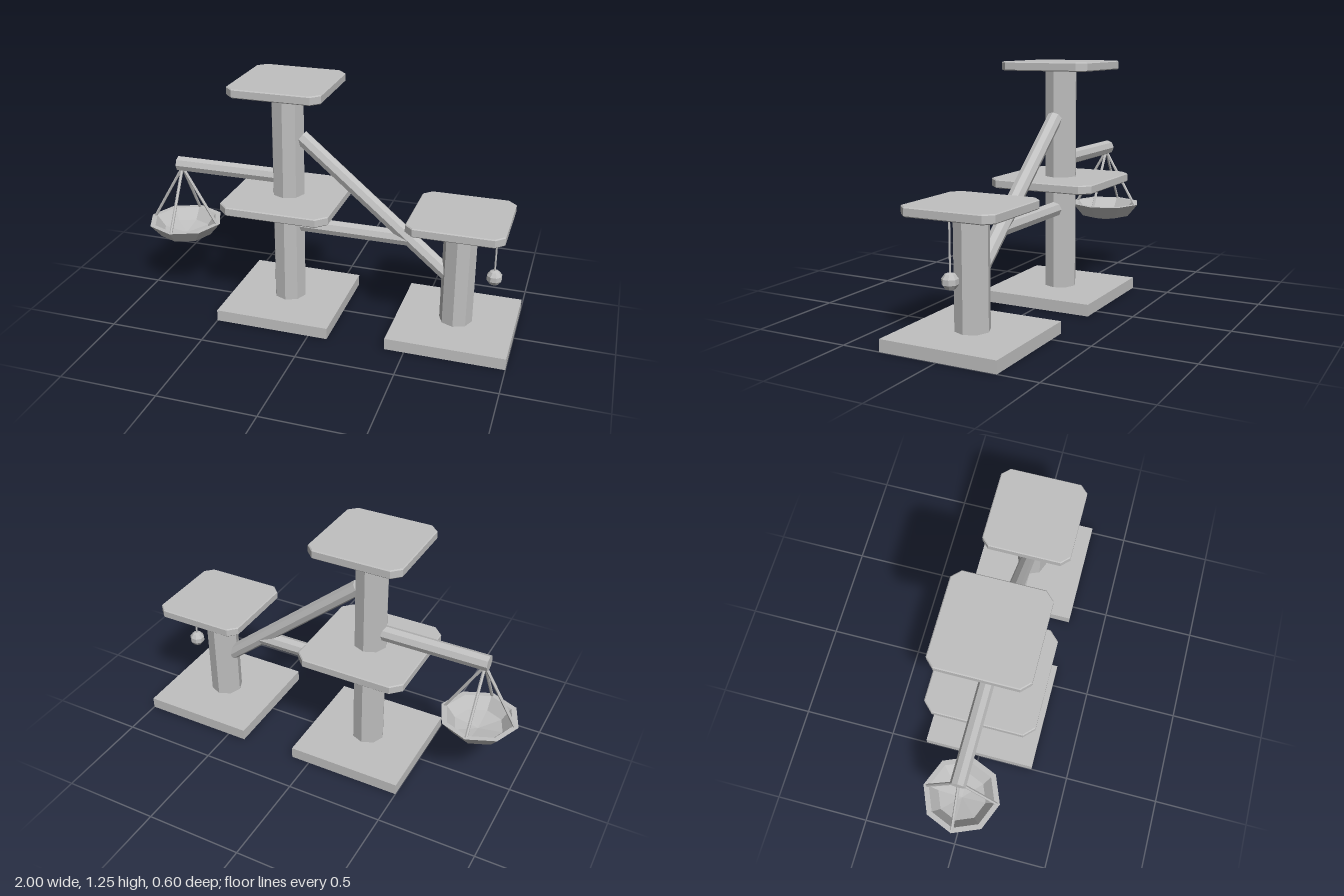
import * as THREE from 'three';

export function createModel() {
  const group = new THREE.Group();
  const grey = new THREE.MeshStandardMaterial({ color: 0xc0c0c0, flatShading: true });
  grey.name = 'plain grey';

  const add = (name, geometry, x = 0, y = 0, z = 0) => {
    const mesh = new THREE.Mesh(geometry, grey);
    mesh.name = name;
    mesh.position.set(x, y, z);
    group.add(mesh);
    return mesh;
  };

  // Cylinder running from point a to point b
  const rod = (name, a, b, radius, sides = 8) => {
    const from = new THREE.Vector3(...a), to = new THREE.Vector3(...b);
    const dir = to.clone().sub(from);
    const mesh = add(name, new THREE.CylinderGeometry(radius, radius, dir.length(), sides));
    mesh.position.copy(from).add(to).multiplyScalar(0.5);
    mesh.quaternion.setFromUnitVectors(new THREE.Vector3(0, 1, 0), dir.normalize());
    return mesh;
  };

  // Square board with cut corners and a fine bevel, top face at y
  const platform = (name, x, y, half, cut) => {
    const bevel = 0.005, thick = 0.045, h = half - bevel, c = h - cut;
    const corners = [[h, -c], [h, c], [c, h], [-c, h], [-h, c], [-h, -c], [-c, -h], [c, -h]];
    const shape = new THREE.Shape(corners.map(([px, py]) => new THREE.Vector2(px, py)));
    const geometry = new THREE.ExtrudeGeometry(shape, {
      depth: thick - 2 * bevel, bevelEnabled: true, bevelSize: bevel, bevelThickness: bevel, bevelSegments: 1,
    });
    geometry.rotateX(-Math.PI / 2);
    add(name, geometry, x, y - thick + bevel, 0);
  };

  // Bases, posts and platforms
  add('tallBase', new THREE.BoxGeometry(0.6, 0.06, 0.6), -0.2, 0.03, 0);
  add('shortBase', new THREE.BoxGeometry(0.6, 0.06, 0.6), 0.7, 0.03, 0);
  rod('tallPost', [-0.2, 0.05, 0], [-0.2, 1.22, 0], 0.085);
  rod('shortPost', [0.7, 0.05, 0], [0.7, 0.62, 0], 0.085);
  platform('topPlatform', -0.2, 1.25, 0.24, 0.04);
  platform('middlePlatform', -0.2, 0.65, 0.285, 0.048);
  platform('shortPlatform', 0.7, 0.65, 0.24, 0.04);

  // Connecting bars
  rod('bowlArm', [-0.82, 0.735, 0], [-0.25, 0.735, 0], 0.04);
  rod('crossBar', [-0.14, 0.48, 0], [0.44, 0.48, 0], 0.04);
  rod('slopingBar', [-0.13, 0.96, 0], [0.64, 0.315, 0], 0.04);

  // Hanging bowl: outer shell, flat rim, inner hollow
  const profile = [[0, 0.308], [0.141, 0.339], [0.2, 0.41], [0.172, 0.41], [0.125, 0.352], [0, 0.33]];
  add('hangingBowl', new THREE.LatheGeometry(profile.map(([r, y]) => new THREE.Vector2(r, y)), 8), -0.8, 0, 0);
  for (const [dx, dz] of [[1, 0], [-1, 0], [0, 1], [0, -1]]) {
    rod('bowlCord', [-0.8, 0.715, 0], [-0.8 + dx * 0.183, 0.405, dz * 0.183], 0.008, 6);
  }

  // Toy ball on a string
  rod('toyString', [0.88, 0.36, 0], [0.88, 0.61, 0], 0.005, 6);
  const ball = add('toyBall', new THREE.SphereGeometry(0.041, 8, 5), 0.88, 0.33, 0);
  ball.rotation.y = Math.PI / 8;

  return group;
}
